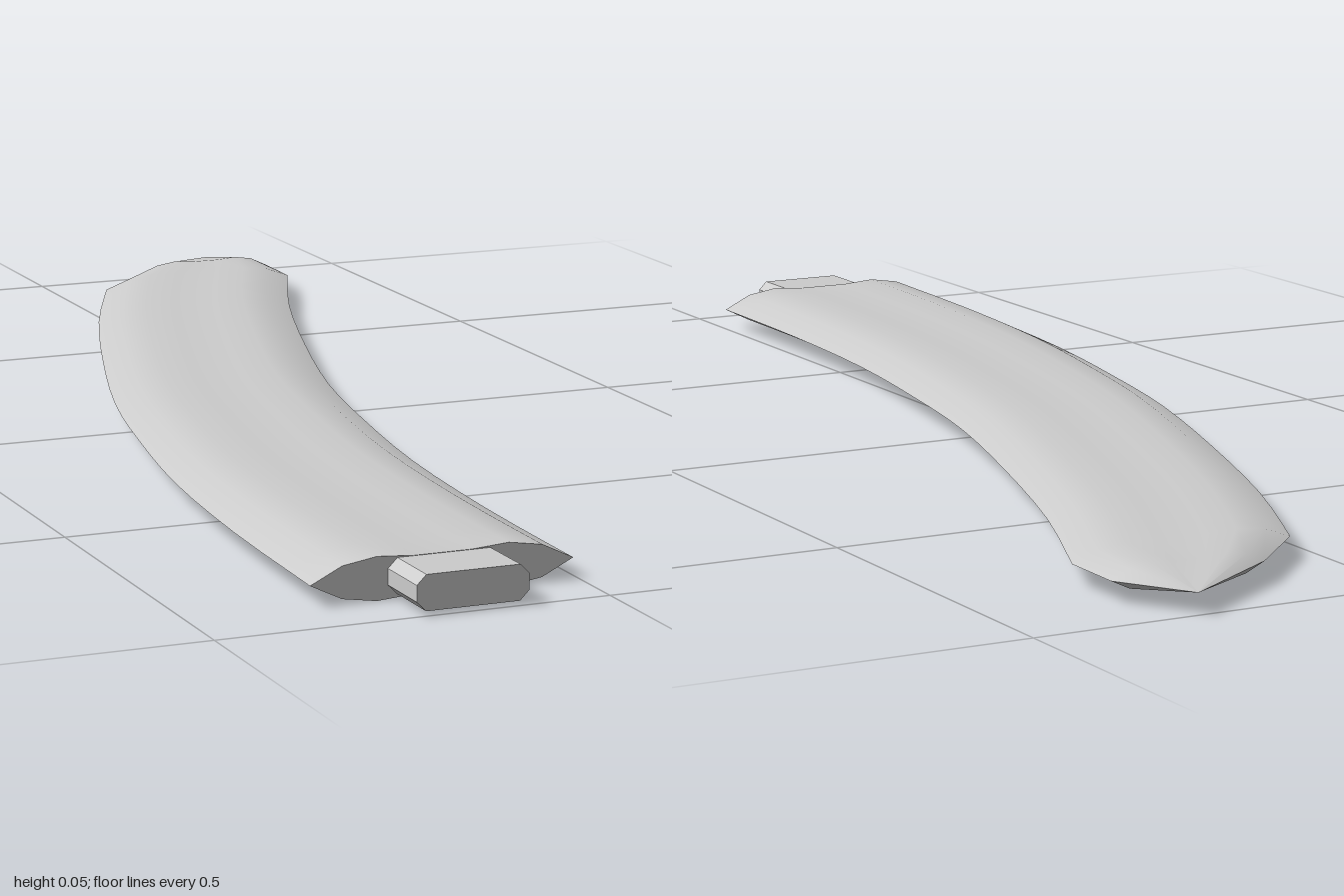
import * as THREE from 'three';
import { toCreasedNormals } from 'three/addons/utils/BufferGeometryUtils.js';

const MID = 0.029; // height of the blade's centre plane

// Upper half of the cross-section: [across -1..1, half height]
const TOP = [[-1, 0], [-0.76, 0.02], [-0.5, 0.027], [-0.22, 0.0235],
  [0.22, 0.0235], [0.5, 0.027], [0.76, 0.02], [1, 0]];
const PROFILE = [...TOP, ...TOP.slice(1, -1).reverse().map(([u, h]) => [u, -h])];

// Curved blade lofted along its centre line, closing in a point
function bladeGeometry() {
  const line = new THREE.SplineCurve([
    [-0.178, 0.918], [-0.17, 0.66], [-0.149, 0.4], [-0.111, 0.16],
    [-0.066, -0.06], [0.008, -0.315], [0.098, -0.585], [0.191, -0.81],
  ].map(([x, z]) => new THREE.Vector2(x, z)));
  const steps = 21;
  const stations = line.getPoints(steps).map((p, i) => {
    const t = i / steps;
    return { x: p.x, z: p.y, half: THREE.MathUtils.lerp(0.17, 0.152, t), thick: THREE.MathUtils.lerp(1, 0.67, t) };
  });
  stations.push({ x: 0.239, z: -0.904, half: 0.105, thick: 0.6 });

  const n = PROFILE.length;
  const pos = [], idx = [];
  for (const s of stations) {
    for (const [u, h] of PROFILE) pos.push(s.x + u * s.half, MID + h * s.thick, s.z);
  }
  const base = pos.length / 3, tip = base + 1;
  pos.push(stations[0].x, MID, stations[0].z, 0.283, MID, -1);
  const last = (stations.length - 1) * n;
  for (let j = 0; j < n; j++) {
    const k = (j + 1) % n;
    for (let i = 0; i < last; i += n) {
      idx.push(i + j, i + k, i + n + j, i + k, i + n + k, i + n + j);
    }
    idx.push(base, k, j);
    idx.push(last + j, last + k, tip);
  }
  const g = new THREE.BufferGeometry();
  g.setAttribute('position', new THREE.Float32BufferAttribute(pos, 3));
  g.setIndex(idx);
  return toCreasedNormals(g, 0.6);
}

// Chamfered tang standing out of the blade's base
function tangGeometry() {
  const w = 0.072, h = 0.022, c = 0.012;
  const shape = new THREE.Shape([
    [-w, -h + c], [-w + c, -h], [w - c, -h], [w, -h + c],
    [w, h - c], [w - c, h], [-w + c, h], [-w, h - c],
  ].map(([x, y]) => new THREE.Vector2(x, y)));
  return new THREE.ExtrudeGeometry(shape, { depth: 0.09, bevelEnabled: false });
}

export function createModel() {
  const grey = new THREE.MeshStandardMaterial({ color: 0xcccccc });
  grey.name = 'light grey';

  const blade = new THREE.Mesh(bladeGeometry(), grey);
  blade.name = 'blade';

  const tang = new THREE.Mesh(tangGeometry(), grey);
  tang.name = 'tang';
  tang.position.set(-0.177, MID + 0.001, 0.91);

  const model = new THREE.Group();
  model.name = 'curvedBlade';
  model.add(blade, tang);
  return model;
}
